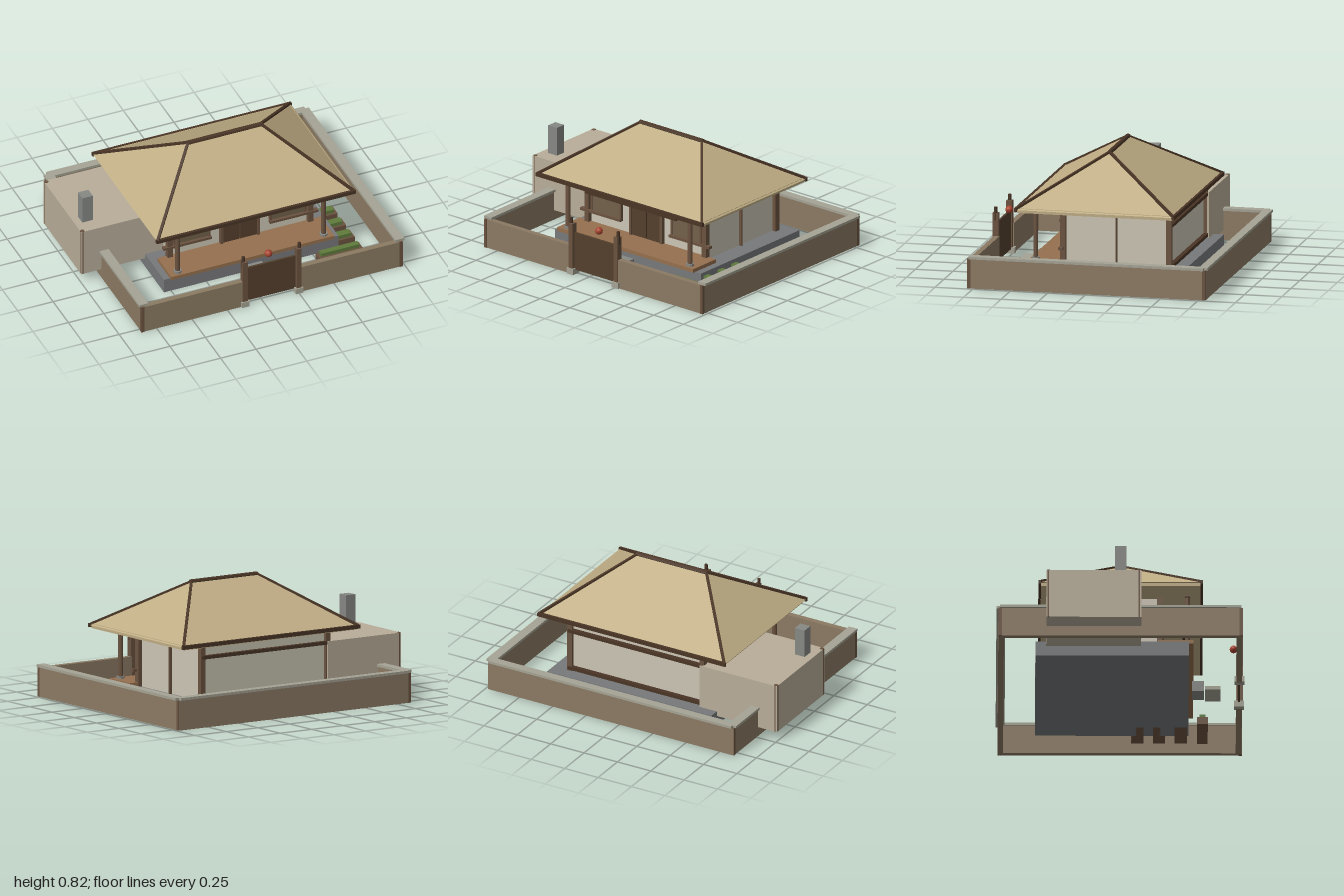
import * as THREE from 'three';

const material = (color) => new THREE.MeshStandardMaterial({ color, flatShading: true });
const M = {
  thatch: material(0xbfad84), darkWood: material(0x4a3526), wood: material(0x6b5340),
  deck: material(0x94704e), plaster: material(0xcbc5b4), earth: material(0x8b7a63),
  cap: material(0xa5a394), annex: material(0xb8ad99), stone: material(0x868884),
  base: material(0x77787a), door: material(0x54402d), panel: material(0x71614a),
  green: material(0x5f7a3c), red: material(0xa8432f),
};

export function createModel() {
  const group = new THREE.Group();
  group.name = 'courtyardHouse';

  const add = (name, geometry, mat) => {
    const mesh = new THREE.Mesh(geometry, mat);
    mesh.name = name;
    group.add(mesh);
    return mesh;
  };
  // Box given by its extents
  const box = (name, mat, x0, x1, y0, y1, z0, z1) => {
    const mesh = add(name, new THREE.BoxGeometry(x1 - x0, y1 - y0, z1 - z0), mat);
    mesh.position.set((x0 + x1) / 2, (y0 + y1) / 2, (z0 + z1) / 2);
    return mesh;
  };
  const pole = (name, mat, x, z, r, y0, y1) => {
    const mesh = add(name, new THREE.CylinderGeometry(r, r, y1 - y0, 10), mat);
    mesh.position.set(x, (y0 + y1) / 2, z);
  };
  // Square bar between two points
  const bar = (name, mat, a, b, size) => {
    const p = new THREE.Vector3(...a), q = new THREE.Vector3(...b);
    const mesh = add(name, new THREE.BoxGeometry(size, size, p.distanceTo(q)), mat);
    mesh.position.copy(p).add(q).multiplyScalar(0.5);
    mesh.lookAt(q);
  };
  // Box whose top is moved to a smaller rectangle: [x0, x1, z0, z1]
  const hipped = (name, mat, bottom, top, y0, y1) => {
    const g = new THREE.BoxGeometry(1, 1, 1);
    const p = g.attributes.position;
    for (let i = 0; i < p.count; i++) {
      const up = p.getY(i) > 0, r = up ? top : bottom;
      p.setXYZ(i, r[p.getX(i) > 0 ? 1 : 0], up ? y1 : y0, r[p.getZ(i) > 0 ? 3 : 2]);
    }
    g.computeVertexNormals();
    return add(name, g, mat);
  };

  // Foundation, veranda deck and steps
  box('foundation', M.base, -0.55, 0.68, 0, 0.1, -0.555, 0.44);
  box('verandaDeck', M.deck, -0.51, 0.64, 0.105, 0.13, 0.24, 0.47);
  box('frontStep', M.cap, -0.03, 0.15, 0, 0.025, 0.545, 0.645);
  box('upperStep', M.stone, -0.01, 0.13, 0, 0.07, 0.46, 0.54);

  // House body with timber framing
  box('houseWalls', M.plaster, -0.42, 0.55, 0.1, 0.48, -0.45, 0.24);
  for (const x of [-0.43, 0.56]) {
    for (const z of [-0.455, 0.25]) box('cornerPost', M.wood, x - 0.018, x + 0.018, 0.1, 0.47, z - 0.018, z + 0.018);
    box('sideStud', M.wood, x - 0.012, x + 0.012, 0.1, 0.47, -0.108, -0.1);
  }
  for (const x of [-0.45, 0.58]) {
    pole('verandaPost', M.wood, x, 0.43, 0.016, 0.13, 0.47);
    pole('postStone', M.stone, x, 0.43, 0.026, 0.128, 0.145);
  }
  box('verandaBeam', M.wood, -0.48, 0.61, 0.455, 0.475, 0.415, 0.445);
  box('frontRail', M.wood, -0.48, -0.14, 0.2, 0.217, 0.245, 0.275);
  box('frontRail', M.wood, 0.27, 0.61, 0.2, 0.217, 0.245, 0.275);
  for (const y of [0.12, 0.39]) box('backRail', M.darkWood, -0.44, 0.57, y - 0.01, y + 0.012, -0.48, -0.45);

  // Windows, mirrored about the house centre
  for (const s of [-1, 1]) {
    const cx = 0.065 + s * 0.338;
    box('windowPanel', M.panel, cx - 0.122, cx + 0.122, 0.215, 0.375, 0.235, 0.255);
    box('windowHead', M.darkWood, cx - 0.135, cx + 0.135, 0.372, 0.39, 0.235, 0.28);
    for (const e of [-1, 1]) box('windowJamb', M.wood, cx + e * 0.122 - 0.006, cx + e * 0.122 + 0.006, 0.215, 0.375, 0.235, 0.262);
  }

  // Door and its hipped hood
  for (const s of [-1, 1]) {
    box('doorLeaf', M.door, 0.065 + (s < 0 ? -0.125 : 0.003), 0.065 + (s < 0 ? -0.003 : 0.125), 0.13, 0.4, 0.235, 0.255);
    box('doorJamb', M.wood, 0.065 + s * 0.13 - 0.009, 0.065 + s * 0.13 + 0.009, 0.13, 0.41, 0.235, 0.265);
  }
  hipped('doorHood', M.thatch, [-0.315, 0.445, 0.24, 0.41], [-0.23, 0.36, 0.24, 0.25], 0.405, 0.465);
  box('hoodEave', M.darkWood, -0.32, 0.45, 0.4, 0.42, 0.4, 0.418);

  // Main hip roof with eave boards and ridges
  box('roofSoffit', M.thatch, -0.62, 0.75, 0.465, 0.495, -0.52, 0.515);
  hipped('roof', M.thatch, [-0.635, 0.76, -0.53, 0.525], [-0.19, 0.32, -0.004, 0.004], 0.485, 0.802);
  for (const z of [-0.527, 0.522]) {
    box('eaveBoard', M.darkWood, -0.64, 0.765, 0.472, 0.497, z - 0.009, z + 0.009);
    for (const [x, rx] of [[-0.63, -0.19], [0.755, 0.32]]) bar('hipRidge', M.darkWood, [x, 0.49, z], [rx, 0.802, 0], 0.018);
  }
  const ridge = add('ridgePole', new THREE.CylinderGeometry(0.017, 0.017, 0.53, 8), M.darkWood);
  ridge.rotation.z = Math.PI / 2;
  ridge.position.set(0.065, 0.799, 0);

  // Side annex with chimney
  box('annex', M.annex, -1, -0.42, 0.067, 0.402, -0.485, 0.13);
  for (const z of [-0.472, 0.117]) pole('annexPost', M.wood, -0.987, z, 0.014, 0.067, 0.404);
  box('chimney', M.stone, -0.95, -0.876, 0.4, 0.595, -0.04, 0.032);

  // Courtyard walls and copings
  box('frontWallRight', M.earth, -0.85, -0.14, 0, 0.195, 0.747, 0.785);
  box('frontWallLeft', M.earth, 0.265, 0.965, 0, 0.195, 0.747, 0.785);
  box('sideWallRight', M.earth, -0.857, -0.82, 0, 0.197, -0.79, 0.78);
  box('sideWallLeft', M.earth, 0.945, 0.982, 0, 0.197, -0.79, 0.78);
  box('backWall', M.earth, -0.857, 0.982, 0, 0.197, -0.796, -0.76);
  box('copingRight', M.cap, -0.87, -0.807, 0.197, 0.214, -0.785, 0.778);
  box('copingLeft', M.cap, 0.937, 1, 0.197, 0.214, -0.785, 0.778);
  box('copingBack', M.cap, -0.845, 0.975, 0.197, 0.214, -0.808, -0.75);
  for (const x of [-0.848, 0.973]) {
    for (const z of [-0.785, 0.778]) box('wallCornerPost', M.wood, x - 0.011, x + 0.011, 0, 0.198, z - 0.011, z + 0.011);
  }

  // Gate, gate posts and lantern
  box('gate', M.door, -0.11, 0.235, 0.03, 0.288, 0.758, 0.772);
  for (const s of [-1, 1]) {
    const x = 0.0625 + s * 0.19;
    box('gatePost', M.wood, x - 0.017, x + 0.017, 0.03, 0.35, 0.752, 0.792);
    pole('gatePole', M.darkWood, x + s * 0.008, 0.773, 0.011, 0.3, 0.388);
    box('gatePostStone', M.cap, x - 0.027, x + 0.027, 0, 0.04, 0.735, 0.8);
  }
  const lantern = add('lantern', new THREE.SphereGeometry(0.025, 16, 10), M.red);
  lantern.position.set(0.062, 0.33, 0.73);

  // Garden beds beside the veranda
  for (const [x0, z0, z1] of [[0.55, 0.07, 0.15], [0.55, 0.21, 0.29], [0.55, 0.35, 0.43], [0.495, 0.495, 0.565]]) {
    box('gardenBed', M.wood, x0, 0.8, 0, 0.05, z0, z1);
    box('gardenPlants', M.green, x0 + 0.018, 0.782, 0.03, 0.075, z0 + 0.015, z1 - 0.015);
  }
  return group;
}
